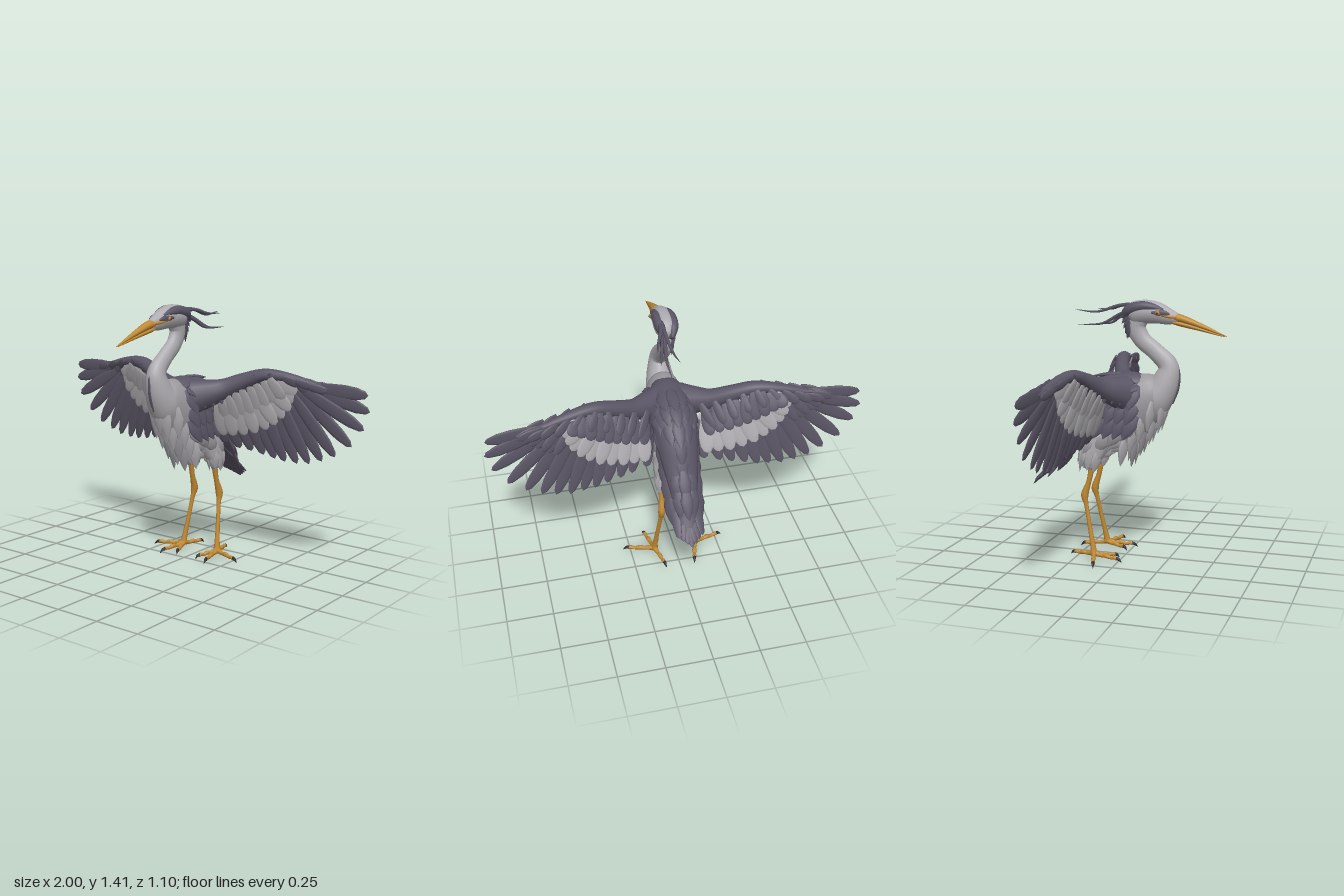
import * as THREE from 'three';

const mat = (name, color) => {
  const m = new THREE.MeshStandardMaterial({ color });
  m.name = name;
  return m;
};
const dark = mat('slate plumage', 0x5a5565);
const light = mat('pale plumage', 0xaeacb0);
const grey = mat('mid grey plumage', 0x9a989d);
const orange = mat('bill and leg orange', 0xbf8933);
const black = mat('claw black', 0x2e2b33);

const V = (x, y, z) => new THREE.Vector3(x, y, z);
const X = V(1, 0, 0), Y = V(0, 1, 0);
const curve = (pts, type) => new THREE.CatmullRomCurve3(pts.map(p => V(...p)), false, type);

// Smooth elliptical loft; rows are [x, y, z, radius along ref, other radius]
function loft(parent, name, material, rows, ref = X, sides = 14, per = 5) {
  const path = curve(rows.map(r => r.slice(0, 3)));
  const radii = curve(rows.map(r => [r[3], r[4] ?? r[3], 0]), 'catmullrom');
  const n = (rows.length - 1) * per, pos = [], idx = [];
  for (let k = -1; k <= n + 1; k++) {
    const t = Math.min(Math.max(k / n, 0), 1), end = k < 0 || k > n ? 0 : 1;
    const c = path.getPoint(t), r = radii.getPoint(t), T = path.getTangent(t);
    const S = ref.clone().addScaledVector(T, -T.dot(ref)).normalize();
    const U = T.clone().cross(S);
    for (let j = 0; j < sides; j++) {
      const a = j / sides * Math.PI * 2;
      const p = c.clone()
        .addScaledVector(S, Math.max(r.x, 0.0006) * Math.cos(a) * end)
        .addScaledVector(U, Math.max(r.y, 0.0006) * Math.sin(a) * end);
      pos.push(p.x, p.y, p.z);
      if (k > n) continue;
      const i = (k + 1) * sides, q = (j + 1) % sides;
      idx.push(i + j, i + q, i + sides + j, i + q, i + sides + q, i + sides + j);
    }
  }
  const g = new THREE.BufferGeometry();
  g.setAttribute('position', new THREE.Float32BufferAttribute(pos, 3));
  g.setIndex(idx);
  g.computeVertexNormals();
  const m = new THREE.Mesh(g, material);
  m.name = name;
  parent.add(m);
}

// Rounded wing feather and pointed body plume, unit length along y
const profile = p => new THREE.LatheGeometry(p.map(([r, y]) => new THREE.Vector2(r, y)), 10);
const blade = profile([[0, 0], [0.55, 0.02], [0.88, 0.3], [1, 0.58], [0.88, 0.8], [0.52, 0.95], [0, 1]]);
const plume = profile([[0, 0], [0.6, 0.05], [1, 0.4], [0.8, 0.65], [0.35, 0.87], [0, 1]]);

function feather(parent, name, material, base, tip, normal, width, shape = blade, thick = 0.007) {
  const d = tip.clone().sub(base), len = d.length();
  d.normalize();
  const n = normal.clone().addScaledVector(d, -normal.dot(d)).normalize();
  const m = new THREE.Mesh(shape, material);
  m.name = name;
  m.quaternion.setFromRotationMatrix(new THREE.Matrix4().makeBasis(d.clone().cross(n), d, n));
  m.position.copy(base);
  m.scale.set(width, len, thick);
  parent.add(m);
}

function addWing(root, s) {
  const wing = new THREE.Group();
  wing.name = s > 0 ? 'leftWing' : 'rightWing';
  root.add(wing);
  loft(wing, 'wingArm', dark, [
    [0.06, 0.92, 0.02, 0.1, 0.08], [0.14, 0.945, -0.035, 0.075, 0.065], [0.21, 0.97, -0.08, 0.055, 0.05],
    [0.31, 1.015, -0.12, 0.045, 0.042], [0.43, 1.055, -0.15, 0.034, 0.038], [0.58, 1.042, -0.18, 0.026, 0.027],
    [0.72, 1.012, -0.2, 0.016, 0.016], [0.83, 0.995, -0.215, 0.01, 0.008]].map(r => [r[0] * s, ...r.slice(1)]), Y);
  const lerp = (x, a) => {
    const f = Math.min(Math.max((x - 0.1) / 0.3, 0), 2.99), i = Math.floor(f);
    return a[i] + (a[i + 1] - a[i]) * (f - i);
  };
  const baseZ = x => lerp(x, [-0.08, -0.155, -0.2, -0.215]);
  const tipZ = x => lerp(x, [-0.165, -0.215, -0.23, -0.225]);
  // One row of overlapping feathers between a base line and a tip line
  const row = (name, material, count, bases, tips, zb, zt, width) => {
    const b = curve(bases.map(p => [...p, 0])), t = curve(tips.map(p => [...p, 0]));
    for (let i = 0; i < count; i++) {
      const p = b.getPoint(i / (count - 1)), q = t.getPoint(i / (count - 1));
      const shift = (i % 2) * 0.004;
      feather(wing, name, material, V(p.x * s, p.y, baseZ(p.x) + zb + shift),
        V(q.x * s, q.y, tipZ(q.x) + zt + shift), V(Math.max(0.3 - 0.5 * p.x, 0) * s, 0, 1), width);
    }
  };
  row('flightFeather', dark, 14, [[0.13, 0.85], [0.3, 0.92], [0.45, 0.97], [0.58, 0.99], [0.68, 1.01]],
    [[0.16, 0.65], [0.25, 0.63], [0.32, 0.62], [0.4, 0.605], [0.47, 0.59], [0.54, 0.585], [0.62, 0.585],
      [0.7, 0.605], [0.78, 0.635], [0.88, 0.695], [0.965, 0.795], [1.0, 0.9], [0.99, 0.99]], 0, 0, 0.038);
  const paleTips = [[0.17, 0.7], [0.28, 0.71], [0.4, 0.745], [0.5, 0.805], [0.57, 0.885], [0.6, 0.97]];
  for (const f of [1, -1]) {
    row('paleCovert', light, 10, [[0.17, 0.88], [0.3, 0.94], [0.4, 1.0], [0.5, 1.03]], paleTips,
      f * 0.022, f > 0 ? 0.042 : -0.018, 0.042);
    row('primaryCovert', dark, 7, [[0.52, 1.02], [0.6, 1.025], [0.68, 1.015]],
      [[0.65, 0.86], [0.74, 0.92], [0.83, 0.99]], f * 0.01, f * 0.008, 0.028);
  }
  row('upperPaleCovert', light, 8, [[0.2, 0.92], [0.34, 0.985], [0.47, 1.045]],
    [[0.21, 0.77], [0.36, 0.82], [0.53, 0.93]], 0.048, 0.056, 0.036);
  row('frontLeadingCovert', dark, 8, [[0.18, 0.98], [0.28, 1.01], [0.42, 1.067], [0.56, 1.05], [0.68, 1.02]],
    [[0.22, 0.89], [0.31, 0.945], [0.48, 1.015], [0.64, 1.01], [0.78, 0.995]], 0.045, 0.045, 0.024);
  row('backLeadingCovert', dark, 9, [[0.14, 0.98], [0.28, 1.01], [0.42, 1.065], [0.56, 1.05], [0.68, 1.02]],
    [[0.2, 0.86], [0.31, 0.92], [0.46, 0.98], [0.64, 0.99], [0.78, 0.99]], -0.035, -0.026, 0.026);
  row('upperDarkCovert', dark, 9, [[0.16, 0.95], [0.3, 1.0], [0.42, 1.06], [0.53, 1.04]],
    [[0.18, 0.83], [0.31, 0.87], [0.43, 0.92], [0.56, 0.98]], -0.04, -0.038, 0.036);
  // Shoulder feathers over the wing root and along the flank
  for (let i = 0; i < 5; i++) feather(wing, 'wingRootFeather', dark, V(s * (0.085 + 0.03 * i), 0.99 - i * 0.002, 0.065 - 0.033 * i),
    V(s * (0.125 + 0.03 * i), 0.86 + i * 0.01, 0.05 - 0.036 * i), V(s * 0.7, 0.1, 0.7), 0.034, plume, 0.014);
  for (let i = 0; i < 4; i++) for (let j = 0; j < 3; j++) {
    feather(wing, 'shoulderFeather', dark, V(s * (0.085 + j * 0.01), 0.98 - j * 0.08, 0.085 - i * 0.055),
      V(s * 0.137, 0.84 - j * 0.08, 0.05 - i * 0.055 - j * 0.015), V(s, 0.2, 0.2), 0.042, plume, 0.012);
  }
}

function addLeg(root, s) {
  const leg = new THREE.Group();
  leg.name = s > 0 ? 'leftLeg' : 'rightLeg';
  root.add(leg);
  loft(leg, 'thigh', light, [[s * 0.07, 0.7, -0.12, 0.045, 0.08], [s * 0.08, 0.58, -0.17, 0.042, 0.065],
    [s * 0.083, 0.5, -0.18, 0.02, 0.03]]);
  for (let i = 0; i < 8; i++) {
    const a = i / 8 * Math.PI * 2, c = Math.cos(a), d = Math.sin(a);
    feather(leg, 'thighFeather', light, V(s * 0.08 + c * 0.035, 0.63 - (i % 2) * 0.02, -0.165 + d * 0.06),
      V(s * 0.083 + c * 0.027, 0.48 + (i % 3) * 0.015, -0.19 + d * 0.05), V(c, 0, d), 0.03, plume, 0.01);
  }
  loft(leg, 'shin', orange, [[s * 0.082, 0.54, -0.165, 0.018], [s * 0.084, 0.43, -0.186, 0.014],
    [s * 0.086, 0.375, -0.205, 0.019], [s * 0.088, 0.345, -0.21, 0.02], [s * 0.092, 0.3, -0.2, 0.012],
    [s * 0.107, 0.15, -0.17, 0.012], [s * 0.116, 0.06, -0.152, 0.016], [s * 0.118, 0.028, -0.148, 0.022]], X, 10, 3);
  // Four toes with knuckles and claws
  for (const [x, z] of [[0.15, 0.005], [0.072, -0.03], [0.272, -0.1], [0.085, -0.28]]) {
    const at = (t, y, r) => [s * (0.118 + (x - 0.118) * t), y, -0.148 + (z + 0.148) * t, r];
    loft(leg, 'toe', orange, [at(0, 0.035, 0.018), at(0.35, 0.026, 0.01), at(0.5, 0.029, 0.013),
      at(0.7, 0.022, 0.009), at(0.86, 0.026, 0.011), at(0.95, 0.02, 0.008)], Y, 8, 3);
    loft(leg, 'claw', black, [at(0.9, 0.026, 0.009), at(1, 0.022, 0.008), at(1.12, 0.006, 0.001)], Y, 7, 3);
  }
}

function addHead(root) {
  const head = new THREE.Group();
  head.name = 'head';
  root.add(head);
  loft(head, 'skull', light, [[0, 1.335, 0.0, 0.02, 0.025], [0, 1.347, 0.04, 0.052, 0.06], [0, 1.357, 0.1, 0.06, 0.064],
    [0, 1.353, 0.17, 0.052, 0.058], [0, 1.336, 0.23, 0.038, 0.045], [0, 1.323, 0.29, 0.023, 0.027]]);
  loft(head, 'upperBill', orange, [[0, 1.332, 0.25, 0.03, 0.02], [0, 1.327, 0.295, 0.027, 0.022],
    [0, 1.297, 0.39, 0.018, 0.015], [0, 1.238, 0.55, 0.002, 0.002]]);
  loft(head, 'lowerBill', orange, [[0, 1.305, 0.26, 0.022, 0.01], [0, 1.296, 0.31, 0.022, 0.014],
    [0, 1.274, 0.4, 0.014, 0.01], [0, 1.236, 0.54, 0.002, 0.002]]);
  for (const s of [1, -1]) {
    loft(head, 'browStripe', dark, [[s * 0.03, 1.37, 0.215, 0.006, 0.008], [s * 0.033, 1.383, 0.16, 0.021, 0.021],
      [s * 0.035, 1.387, 0.1, 0.028, 0.028], [s * 0.034, 1.368, 0.03, 0.025, 0.03], [s * 0.016, 1.325, -0.01, 0.012, 0.02]]);
    loft(head, 'facePatch', dark, [[s * 0.034, 1.35, 0.25, 0.004, 0.005], [s * 0.041, 1.354, 0.215, 0.008, 0.017],
      [s * 0.052, 1.357, 0.155, 0.005, 0.006]]);
    loft(head, 'lore', orange, [[s * 0.022, 1.332, 0.285, 0.006, 0.008], [s * 0.037, 1.338, 0.235, 0.006, 0.008],
      [s * 0.047, 1.348, 0.195, 0.004, 0.004]]);
    for (const [n, m, r, x] of [['eye', orange, 0.013, 0.048], ['pupil', black, 0.006, 0.058]]) {
      const e = new THREE.Mesh(new THREE.SphereGeometry(r, 12, 8), m);
      e.name = n;
      e.position.set(s * x, 1.353, 0.188);
      head.add(e);
    }
    for (let i = 0; i < 5; i++) feather(head, 'napeFeather', dark, V(s * 0.032, 1.375 - i * 0.022, 0.03),
      V(s * (0.028 - i * 0.003), 1.32 - i * 0.027, -0.025 + i * 0.009), V(s, 0.3, -0.5), 0.017, plume);
  }
  // Long trailing crest plumes
  const crest = [[[0.025, 1.395, 0.05], [0.03, 1.385, -0.05], [0.02, 1.35, -0.17], [0.01, 1.36, -0.29]],
    [[0.02, 1.37, 0.03], [0.03, 1.335, -0.05], [0.045, 1.285, -0.15], [0.05, 1.275, -0.29]],
    [[0.035, 1.39, 0.04], [0.05, 1.385, -0.04], [0.075, 1.365, -0.1], [0.1, 1.36, -0.19]],
    [[0.025, 1.365, 0.03], [0.04, 1.33, -0.04], [0.06, 1.29, -0.1], [0.08, 1.28, -0.18]]];
  for (const c of crest) loft(head, 'crestPlume', dark, c.map((p, i) => [...p, [0.012, 0.01, 0.007, 0.001][i]]), X, 6, 5);
}

export function createModel() {
  const root = new THREE.Group();
  root.name = 'heron';
  loft(root, 'body', grey, [[0, 0.95, 0.22, 0.04, 0.05], [0, 0.93, 0.17, 0.085, 0.11], [0, 0.88, 0.09, 0.11, 0.155],
    [0, 0.79, -0.03, 0.12, 0.175], [0, 0.7, -0.14, 0.105, 0.135], [0, 0.64, -0.22, 0.075, 0.085], [0, 0.6, -0.28, 0.03, 0.025]], X, 20);
  loft(root, 'mantle', dark, [[0, 0.98, 0.12, 0.06, 0.04], [0, 0.965, 0.04, 0.1, 0.07], [0, 0.92, -0.07, 0.118, 0.09],
    [0, 0.82, -0.18, 0.115, 0.09], [0, 0.67, -0.3, 0.088, 0.05], [0, 0.51, -0.42, 0.055, 0.018], [0, 0.43, -0.485, 0.03, 0.008]], X, 18);
  loft(root, 'neck', light, [[0, 1.35, 0.09, 0.042, 0.05], [0, 1.28, 0.058, 0.038, 0.052], [0, 1.21, 0.09, 0.035, 0.048],
    [0, 1.145, 0.167, 0.037, 0.047], [0, 1.07, 0.237, 0.048, 0.056], [0, 0.98, 0.22, 0.07, 0.075],
    [0, 0.89, 0.165, 0.085, 0.095], [0, 0.8, 0.1, 0.06, 0.09]], X, 18);
  // Dark streak down the front of the neck
  loft(root, 'neckStreak', dark, [[0, 1.12, 0.244, 0.003, 0.004], [0, 1.06, 0.29, 0.007, 0.006], [0, 1.0, 0.298, 0.008, 0.006],
    [0, 0.94, 0.289, 0.008, 0.006], [0, 0.87, 0.26, 0.003, 0.006]], X, 8);
  // Chest plumes in hanging rows
  for (let r = 0; r < 4; r++) for (let i = -2; i <= 2; i++) {
    const k = Math.abs(i), y = 0.92 - r * 0.065 - k * 0.012, z = 0.243 - r * 0.05 - k * k * 0.017;
    feather(root, 'chestPlume', k === 1 && r > 1 ? grey : light, V(i * 0.038, y, z),
      V(i * 0.037, y - 0.18 - (k % 2) * 0.02, z - 0.035), V(i * 0.3, 0, 1), 0.036, plume, 0.014);
  }
  // Belly and flank plumes
  for (const s of [1, -1]) for (let r = 0; r < 3; r++) for (let i = 0; i < 4; i++) {
    feather(root, 'bellyPlume', r ? light : grey, V(s * (0.107 - r * 0.032), 0.77 - r * 0.04 - i * 0.035, 0.07 - i * 0.07),
      V(s * (0.11 - r * 0.03), 0.67 - r * 0.02 - i * 0.035, 0.0 - i * 0.07), V(s, -0.3, 0.2), 0.038, plume, 0.014);
  }
  // Pale feathers under the rump
  for (let i = -2; i <= 2; i++) feather(root, 'rumpPlume', light, V(i * 0.028, 0.65, -0.22),
    V(i * 0.03, 0.5 + Math.abs(i) * 0.015, -0.26), V(i * 0.2, -0.3, -1), 0.034, plume, 0.014);
  // Overlapping back feathers
  const ridge = curve([[0, 1.02, 0.06], [0, 1.02, -0.08], [0, 0.92, -0.21], [0, 0.78, -0.29], [0, 0.64, -0.38]]);
  for (let r = 0; r < 8; r++) for (let i = -2; i <= 2; i++) {
    const t = r / 7, p = ridge.getPoint(t), d = ridge.getTangent(t), w = 0.053 - t * 0.012, k = Math.abs(i);
    const base = V(i * w, p.y - k * k * 0.014, p.z + k * k * 0.011);
    const tip = base.clone().addScaledVector(d, 0.18 - (k % 2) * 0.025);
    tip.x *= 0.94;
    if (r < 2) tip.y -= 0.035;
    feather(root, 'backFeather', dark, base, tip, V(i * 0.35, 0.7, -0.7), 0.036, plume, 0.012);
  }
  // Tail fan
  for (let i = -3; i <= 3; i++) {
    const k = Math.abs(i);
    feather(root, 'tailFeather', dark, V(i * 0.018, 0.62 - k * 0.006, -0.3 + k * 0.006),
      V(i * 0.021, 0.37 + k * 0.014, -0.55 + k * 0.012), V(i * 0.15, 0.7, -0.7), 0.028, blade, 0.008);
  }
  addHead(root);
  for (const s of [1, -1]) {
    addWing(root, s);
    addLeg(root, s);
  }
  return root;
}
